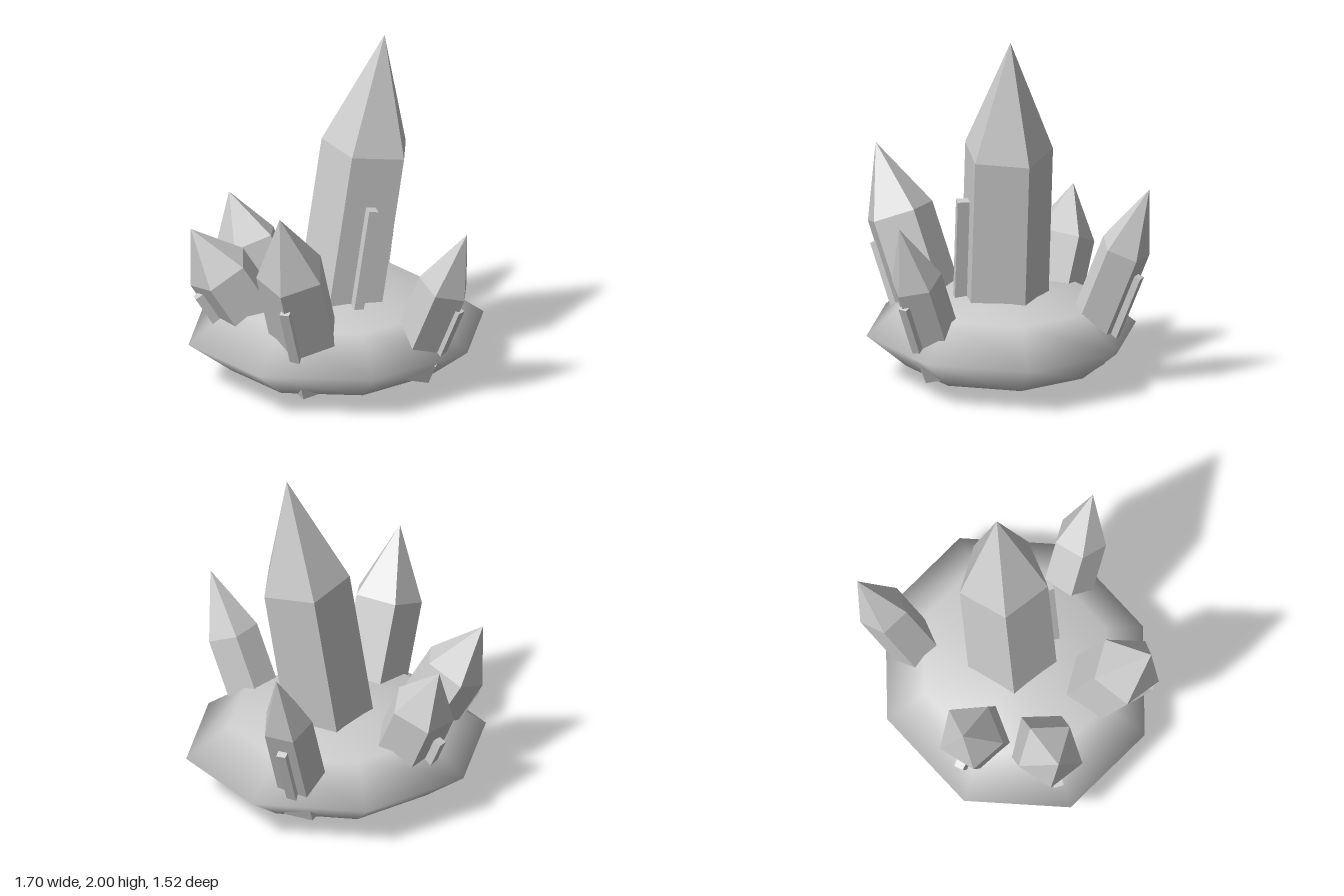
import * as THREE from 'three';

const UP = new THREE.Vector3(0, 1, 0);

// Give every facet its own normal
function faceted(geometry) {
  const g = geometry.toNonIndexed();
  g.computeVertexNormals();
  return g;
}

// foot and tip lie on the crystal's axis; cone is the length of the point
// sliver: top height along the axis, measured from the foot
function crystal(name, { foot, tip, radius, cone, sliverTop, sliverAngle }, material) {
  const group = new THREE.Group();
  group.name = name;
  const start = new THREE.Vector3(...foot);
  const axis = new THREE.Vector3(...tip).sub(start);
  const length = axis.length();
  const bodyLength = length - cone;
  group.position.copy(start);
  group.quaternion.setFromUnitVectors(UP, axis.normalize());

  // Five-sided shaft, flat side to the front
  const shaft = new THREE.CylinderGeometry(radius, radius, bodyLength, 5, 1, false);
  shaft.rotateY(Math.PI).translate(0, bodyLength / 2, 0);
  const body = new THREE.Mesh(faceted(shaft), material);
  body.name = 'crystalShaft';

  // Pointed end
  const point = new THREE.ConeGeometry(radius, cone, 5, 1, true);
  point.rotateY(Math.PI).translate(0, bodyLength + cone / 2, 0);
  const end = new THREE.Mesh(faceted(point), material);
  end.name = 'crystalPoint';

  // Thin sliver growing along the outer side
  const bottom = sliverTop * 0.25, w = Math.max(0.055, radius * 0.21);
  const box = new THREE.BoxGeometry(w, sliverTop - bottom, radius * 0.26);
  box.translate(0, (sliverTop + bottom) / 2, radius * 0.94).rotateY(sliverAngle);
  const sliver = new THREE.Mesh(box, material);
  sliver.name = 'crystalSliver';

  group.add(body, end, sliver);
  return group;
}

export function createModel() {
  const model = new THREE.Group();
  model.name = 'crystalCluster';
  const stone = new THREE.MeshStandardMaterial({ color: 0xcccccc });
  stone.name = 'paleGrey';

  // Flattened smooth rock
  const rock = new THREE.Mesh(new THREE.SphereGeometry(1, 8, 4).scale(0.852, 0.26, 0.76), stone);
  rock.name = 'rockBase';
  rock.position.y = 0.263;
  model.add(rock);

  // Central crystal
  model.add(crystal('mainCrystal', {
    foot: [0, 0.12, 0], tip: [0.28, 2, 0], radius: 0.258, cone: 0.66,
    sliverTop: 0.95, sliverAngle: 0,
  }, stone));

  // Outer crystals lean away from the centre
  const outer = {
    frontRightCrystal: { foot: [-0.21, 0.13, 0.3], tip: [-0.503, 1.23, 0.615], radius: 0.2, cone: 0.41, sliverTop: 0.65 },
    frontLeftCrystal: { foot: [0.31, 0.15, 0.385], tip: [0.56, 1.04, 0.68], radius: 0.15, cone: 0.37, sliverTop: 0.52 },
    backLeftCrystal: { foot: [0.26, 0.15, -0.397], tip: [0.508, 1.18, -0.742], radius: 0.145, cone: 0.39, sliverTop: 0.61 },
    backRightCrystal: { foot: [-0.235, 0.13, -0.26], tip: [-0.475, 0.94, -0.495], radius: 0.187, cone: 0.29, sliverTop: 0.48 },
    sideCrystal: { foot: [-0.326, 0.135, -0.015], tip: [-0.822, 0.935, -0.06], radius: 0.188, cone: 0.31, sliverTop: 0.58 },
  };
  for (const [name, spec] of Object.entries(outer)) {
    const sliverAngle = Math.atan2(spec.foot[0], spec.foot[2]);
    model.add(crystal(name, { ...spec, sliverAngle }, stone));
  }
  return model;
}
